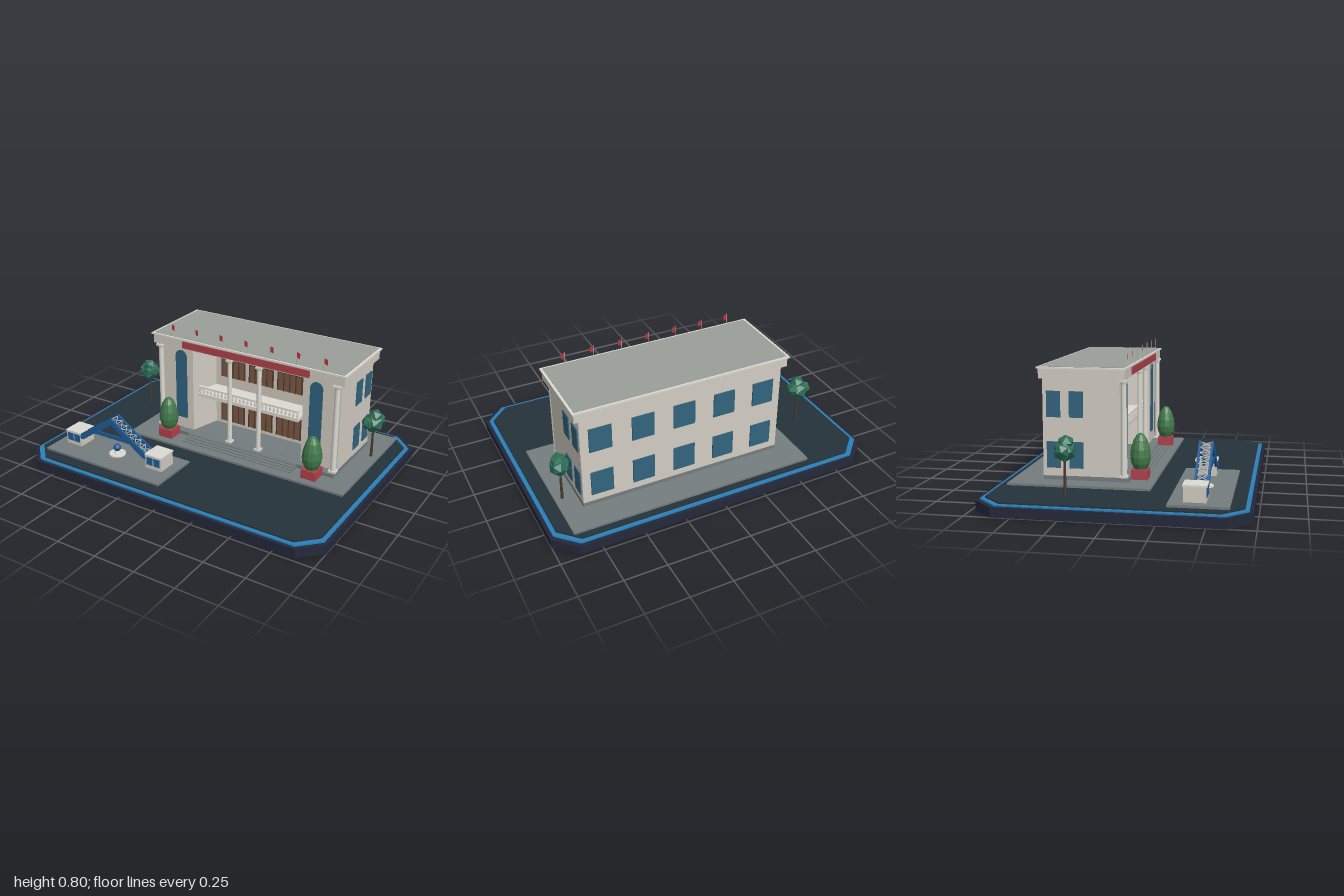
import * as THREE from 'three';

const mat = (color, extra = {}) => new THREE.MeshStandardMaterial({ color, ...extra });
const M = {
  navy: mat(0x23283a), ground: mat(0x25323a), blue: mat(0x2a80b8), pad: mat(0x757d7f),
  wall: mat(0xd2cdc2), white: mat(0xdcdad2), roof: mat(0x9b9f99), glass: mat(0x33647d),
  wood: mat(0x7c5844), frame: mat(0x553a2c), red: mat(0xb0424c), gate: mat(0x1f5c96),
  steel: mat(0xb4b8ba), trunk: mat(0x4a3a30),
  leaf: mat(0x2d6d58, { flatShading: true }), hedge: mat(0x41784a, { flatShading: true }),
  flag: mat(0xc03038, { side: THREE.DoubleSide }),
};

function add(parent, name, geo, m, x = 0, y = 0, z = 0) {
  const mesh = new THREE.Mesh(geo, m);
  mesh.name = name;
  mesh.position.set(x, y, z);
  parent.add(mesh);
  return mesh;
}

function group(parent, name, x = 0, y = 0, z = 0) {
  const g = new THREE.Group();
  g.name = name;
  g.position.set(x, y, z);
  parent.add(g);
  return g;
}

// Box given by its limits
function box(parent, name, m, x0, x1, y0, y1, z0, z1) {
  return add(parent, name, new THREE.BoxGeometry(x1 - x0, y1 - y0, z1 - z0), m,
    (x0 + x1) / 2, (y0 + y1) / 2, (z0 + z1) / 2);
}

// Upright prism over a plan of [x, z] points
function prism(parent, name, m, plan, y0, y1) {
  const shape = new THREE.Shape(plan.map(([x, z]) => new THREE.Vector2(x, -z)));
  const geo = new THREE.ExtrudeGeometry(shape, { depth: y1 - y0, bevelEnabled: false });
  return add(parent, name, geo.rotateX(-Math.PI / 2), m, 0, y0, 0);
}

// Thin bar between two points
function strut(parent, name, m, a, b, r) {
  const p = new THREE.Vector3(...a), q = new THREE.Vector3(...b);
  const mesh = add(parent, name, new THREE.CylinderGeometry(r, r, p.distanceTo(q), 5), m);
  mesh.position.copy(p).lerp(q, 0.5);
  mesh.quaternion.setFromUnitVectors(new THREE.Vector3(0, 1, 0), q.sub(p).normalize());
}

const octagon = (w, d, c) => [[-w, -d + c], [-w + c, -d], [w - c, -d], [w, -d + c],
  [w, d - c], [w - c, d], [-w + c, d], [-w, d - c]];

function buildBase(root) {
  const g = group(root, 'base');
  prism(g, 'plinth', M.navy, octagon(1, 0.727, 0.12), 0, 0.054);
  prism(g, 'blueTrim', M.blue, octagon(0.98, 0.707, 0.115), 0.054, 0.062);
  prism(g, 'groundPlate', M.ground, octagon(0.957, 0.684, 0.11), 0.062, 0.07);
  box(g, 'buildingPad', M.pad, -0.6, 0.88, 0.07, 0.083, -0.645, 0.16);
  box(g, 'gatePad', M.pad, -0.9, -0.06, 0.07, 0.083, 0.29, 0.61);
}

function column(g, x, r) {
  const c = group(g, 'column', x, 0, -0.01);
  add(c, 'shaft', new THREE.CylinderGeometry(r * 0.9, r, 0.55, 16), M.white, 0, 0.383, 0);
  for (const y of [0.113, 0.65]) {
    box(c, 'block', M.white, -r * 1.3, r * 1.3, y - 0.006, y + 0.006, -r * 1.3, r * 1.3);
  }
  add(c, 'neckRing', new THREE.CylinderGeometry(r * 1.2, r, 0.012, 16), M.white, 0, 0.638, 0);
}

// Brown glazed doors with a blue transom
function doors(g, x, y0, y1) {
  const w = 0.082, z = -0.217;
  const d = group(g, 'doors', x, 0, z);
  box(d, 'panel', M.wood, -w, w, y0, y1, -0.01, 0.006);
  box(d, 'transom', M.glass, -w + 0.006, w - 0.006, y1 - 0.032, y1 - 0.006, 0, 0.008);
  box(d, 'transomBar', M.frame, -w, w, y1 - 0.038, y1 - 0.032, 0, 0.01);
  for (const u of [-1, -0.5, 0, 0.5, 1]) {
    box(d, 'mullion', M.frame, u * w - 0.003, u * w + 0.003, y0, y1, 0, 0.01);
  }
}

function buildHall(root) {
  const g = group(root, 'mainBuilding', 0.139);
  box(g, 'platform', M.pad, -0.616, 0.616, 0.083, 0.107, -0.47, -0.03);
  box(g, 'porchFloor', M.pad, -0.616, 0.616, 0.083, 0.106, -0.03, 0.02);
  for (let i = 0; i < 4; i++) {
    box(g, 'step', M.pad, -0.38, 0.38, 0.08, 0.088 + i * 0.0055, -0.02, 0.1 - i * 0.022);
  }
  box(g, 'rearBlock', M.wall, -0.616, 0.616, 0.105, 0.66, -0.47, -0.217);

  // Wings with splayed inner walls and tall arched windows
  const arch = new THREE.Shape();
  arch.moveTo(-0.04, 0.18).lineTo(0.04, 0.18).lineTo(0.04, 0.594);
  arch.absarc(0, 0.594, 0.04, 0, Math.PI, false);
  const archGeo = new THREE.ExtrudeGeometry(arch, { depth: 0.008, bevelEnabled: false, curveSegments: 10 });
  for (const s of [-1, 1]) {
    const plan = [[s * 0.616, -0.217], [s * 0.616, -0.03], [s * 0.379, -0.03], [s * 0.326, -0.217]];
    prism(g, 'wing', M.wall, plan, 0.105, 0.66);
    add(g, 'archedWindow', archGeo, M.glass, s * 0.463, 0, -0.032);
    box(g, 'archMullion', M.gate, s * 0.463 - 0.002, s * 0.463 + 0.002, 0.18, 0.632, -0.026, -0.021);
    column(g, s * 0.6, 0.017);
    column(g, s * 0.101, 0.015);
    // Side windows
    for (const [y0, y1] of [[0.152, 0.302], [0.44, 0.588]]) {
      for (const z of [-0.278, -0.408]) {
        box(g, 'sideWindow', M.glass, s * 0.615 - 0.007, s * 0.615 + 0.007, y0, y1, z - 0.04, z + 0.04);
      }
    }
  }
  // Rear windows
  for (let i = -2; i <= 2; i++) {
    for (const [y0, y1] of [[0.152, 0.302], [0.44, 0.588]]) {
      box(g, 'rearWindow', M.glass, i * 0.25 - 0.066, i * 0.25 + 0.066, y0, y1, -0.477, -0.46);
    }
  }
  // Recessed front
  for (const x of [-0.199, 0, 0.199]) {
    doors(g, x, 0.13, 0.335);
    doors(g, x, 0.436, 0.59);
  }
  box(g, 'nameplate', M.gate, -0.043, 0.043, 0.6, 0.648, -0.22, -0.205);

  // Balcony
  const b = group(g, 'balcony');
  box(b, 'slab', M.white, -0.347, 0.347, 0.346, 0.368, -0.217, -0.04);
  box(b, 'handrail', M.white, -0.347, 0.347, 0.404, 0.415, -0.06, -0.04);
  const baluster = new THREE.LatheGeometry([[0.004, 0], [0.008, 0.012], [0.004, 0.026], [0.006, 0.037]]
    .map(([r, y]) => new THREE.Vector2(r, y)), 8);
  for (let i = 0; i <= 26; i++) {
    add(b, 'baluster', baluster, M.white, -0.338 + i * 0.026, 0.368, -0.05);
  }

  // Entablature and roof
  box(g, 'entablature', M.wall, -0.645, 0.645, 0.658, 0.714, -0.485, 0.002);
  box(g, 'cornice', M.white, -0.655, 0.655, 0.714, 0.724, -0.495, 0.01);
  box(g, 'roofDeck', M.roof, -0.64, 0.64, 0.722, 0.726, -0.483, -0.002);
  box(g, 'redBanner', M.red, -0.43, 0.43, 0.665, 0.708, 0, 0.008);

  // Flags
  for (let i = -3; i <= 3; i++) {
    const f = group(g, 'flag', i * 0.171 - 0.004, 0.72, -0.01);
    add(f, 'pole', new THREE.CylinderGeometry(0.002, 0.002, 0.08, 6), M.steel, 0, 0.04, 0);
    const cloth = new THREE.PlaneGeometry(0.022, 0.034);
    const p = cloth.attributes.position;
    for (let k = 0; k < 4; k++) if (p.getX(k) > 0) p.setY(k, p.getY(k) - 0.006);
    add(f, 'cloth', cloth, M.flag, 0.011, 0.06, 0);
  }
}

function buildGate(root) {
  const g = group(root, 'entranceGate', -0.483);
  for (const s of [-1, 1]) {
    const b = group(g, 'booth', s * 0.301, 0, 0.427);
    box(b, 'walls', M.wall, -0.056, 0.056, 0.083, 0.166, -0.06, 0.06);
    box(b, 'roof', M.white, -0.059, 0.059, 0.164, 0.174, -0.064, 0.064);
    for (const u of [-0.025, 0.025]) {
      box(b, 'window', M.gate, u - 0.021, u + 0.021, 0.108, 0.157, 0.055, 0.063);
    }
  }
  // Chevron frames, front and back
  const v = [[-0.245, 0.172], [0, 0.336], [0.245, 0.172], [0.245, 0.14], [0.225, 0.14],
    [0, 0.296], [-0.225, 0.14], [-0.245, 0.14]].reverse();
  const shape = new THREE.Shape(v.map((p) => new THREE.Vector2(...p)));
  const geo = new THREE.ExtrudeGeometry(shape, { depth: 0.012, bevelEnabled: false });
  add(g, 'frontChevron', geo, M.gate, 0, 0, 0.478);
  add(g, 'rearChevron', geo, M.gate, 0, 0, 0.41);
  box(g, 'tieBar', M.gate, -0.142, 0.142, 0.204, 0.228, 0.48, 0.488);
  // Lattice between the frames
  const n = 7;
  for (const s of [-1, 1]) {
    for (let i = 0; i < n; i++) {
      const at = (k, z) => [s * 0.235 * (1 - k / n), 0.17 + 0.158 * k / n, z];
      strut(g, 'brace', M.steel, at(i, 0.42), at(i + 1, 0.48), 0.003);
      strut(g, 'brace', M.steel, at(i, 0.48), at(i + 1, 0.42), 0.003);
      strut(g, 'crossBar', M.steel, at(i, 0.42), at(i, 0.48), 0.003);
    }
  }
  // Globe on a round plinth
  const m = group(g, 'globeMonument', 0, 0, 0.442);
  add(m, 'disc', new THREE.CylinderGeometry(0.05, 0.052, 0.008, 24), M.white, 0, 0.087, 0);
  add(m, 'pedestal', new THREE.CylinderGeometry(0.012, 0.02, 0.02, 16), M.white, 0, 0.1, 0);
  add(m, 'globe', new THREE.SphereGeometry(0.023, 20, 14), M.gate, 0, 0.126, 0);
}

function buildPlants(root) {
  // Potted topiaries beside the steps
  const profile = [[0, 0.135], [0.038, 0.14], [0.054, 0.172], [0.06, 0.21], [0.055, 0.255],
    [0.04, 0.305], [0.02, 0.336], [0, 0.346]].map(([r, y]) => new THREE.Vector2(r, y));
  for (const x of [-0.362, 0.638]) {
    const t = group(root, 'topiary', x, 0, 0.066);
    box(t, 'planter', M.red, -0.047, 0.047, 0.083, 0.139, -0.047, 0.047);
    add(t, 'foliage', new THREE.LatheGeometry(profile, 12), M.hedge);
  }
  // Faceted trees at both ends
  for (const [x, z, y0, a] of [[-0.755, -0.272, 0.07, 0.3], [0.835, -0.345, 0.08, 1.4]]) {
    const t = group(root, 'tree', x, 0, z);
    add(t, 'trunk', new THREE.CylinderGeometry(0.006, 0.009, 0.26 - y0, 7), M.trunk, 0, (0.26 + y0) / 2, 0);
    const crown = group(t, 'crown', 0, 0.31, 0);
    crown.rotation.y = a;
    for (const [r, dx, dy, dz] of [[0.063, 0, 0, 0], [0.045, 0.032, 0.012, 0.01],
      [0.042, -0.036, 0.004, -0.014], [0.045, 0.002, 0.042, 0.008]]) {
      add(crown, 'leaves', new THREE.IcosahedronGeometry(r, 0), M.leaf, dx, dy, dz).rotation.y = dx * 20;
    }
  }
}

export function createModel() {
  const root = new THREE.Group();
  root.name = 'campusDiorama';
  buildBase(root);
  buildHall(root);
  buildGate(root);
  buildPlants(root);
  return root;
}
